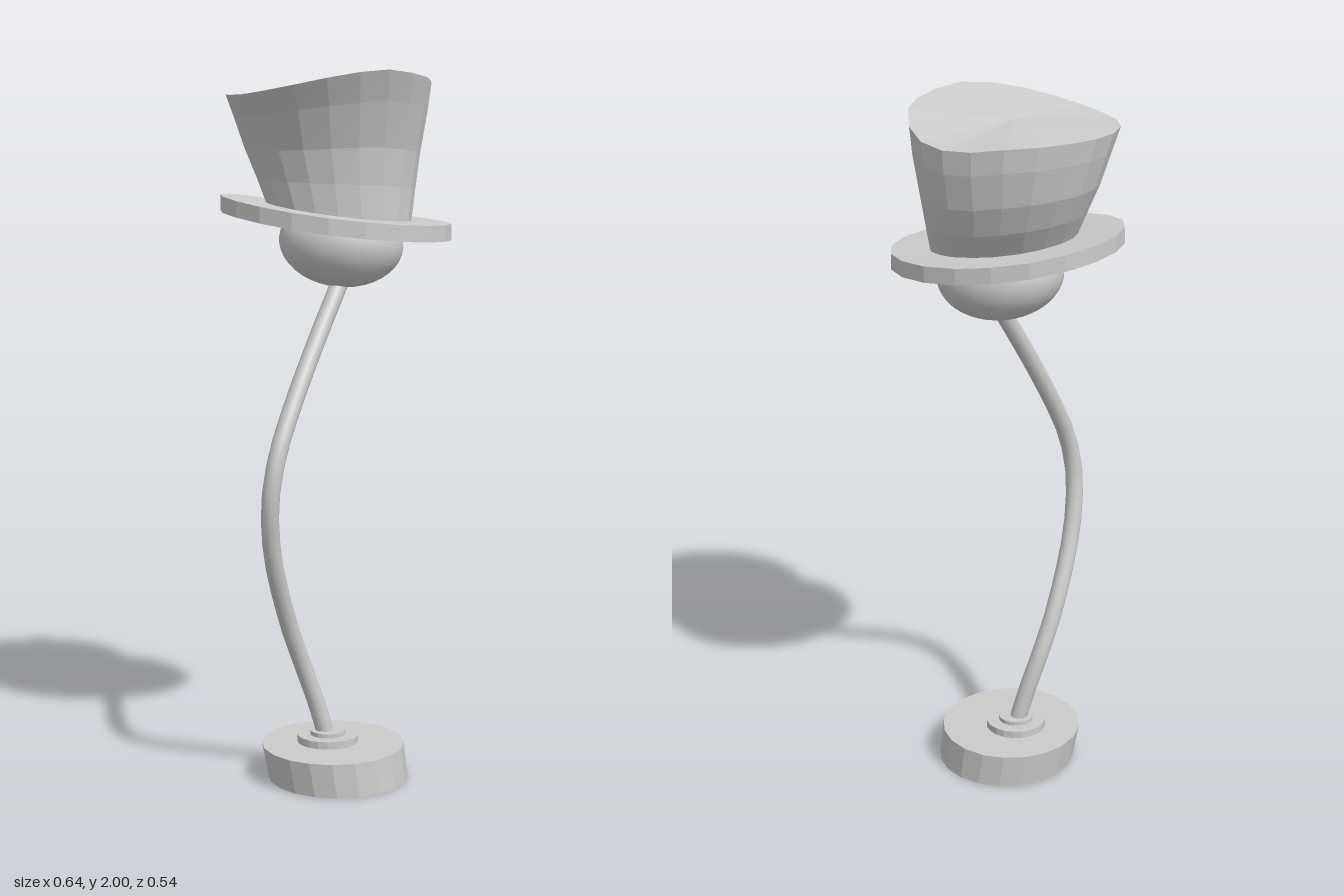
import * as THREE from 'three';

const SIDES = 20;
const smooth = new THREE.MeshStandardMaterial({ color: 0xcccccc });
const faceted = new THREE.MeshStandardMaterial({ color: 0xcccccc, flatShading: true });
const facetedOpen = new THREE.MeshStandardMaterial({ color: 0xcccccc, flatShading: true, side: THREE.DoubleSide });

// Elliptical ring of points; height is a function of x, z and angle index
function ring(cx, cz, rx, rz, height) {
  return Array.from({ length: SIDES }, (_, j) => {
    const a = (j / SIDES) * Math.PI * 2;
    const x = cx + rx * Math.cos(a), z = cz + rz * Math.sin(a);
    return [x, height(x, z, a), z];
  });
}

// Skin a list of rings
function loft(rings) {
  const index = [];
  for (let i = 0; i < rings.length - 1; i++) {
    for (let j = 0; j < SIDES; j++) {
      const k = (j + 1) % SIDES;
      const a = i * SIDES + j, b = i * SIDES + k;
      index.push(a, a + SIDES, b, b, a + SIDES, b + SIDES);
    }
  }
  const geometry = new THREE.BufferGeometry();
  geometry.setAttribute('position', new THREE.Float32BufferAttribute(rings.flat(2), 3));
  geometry.setIndex(index);
  geometry.computeVertexNormals();
  return geometry;
}

function add(parent, name, geometry, material) {
  const mesh = new THREE.Mesh(geometry, material);
  mesh.name = name;
  parent.add(mesh);
  return mesh;
}

// Tilted, slightly curled underside of the brim
const brimLevel = (x) => 1.56 - 0.125 * x + 0.1 * x * x;

// Wavy top edge of the crown, one height per 30 degrees from +x towards +z
const RIM = [1.965, 1.985, 2.0, 1.975, 1.945, 1.928, 1.93, 1.93, 1.928, 1.92, 1.9, 1.915];
function rimLevel(a) {
  const t = (a / (Math.PI * 2)) * RIM.length;
  const i = Math.floor(t) % RIM.length;
  return THREE.MathUtils.lerp(RIM[i], RIM[(i + 1) % RIM.length], t - Math.floor(t));
}

function createHat() {
  const hat = new THREE.Group();
  hat.name = 'hat';

  // Brim: ring with a hole for the head
  const under = (x) => brimLevel(x);
  const over = (x) => brimLevel(x) + 0.045;
  const inner = [0.01, -0.01, 0.2, 0.155], outer = [0, 0, 0.322, 0.268];
  const brim = add(hat, 'brim', loft([
    ring(...inner, under), ring(...outer, under), ring(...outer, over),
    ring(...inner, over), ring(...inner, under),
  ]), faceted);
  brim.rotation.y = -0.06;

  // Crown wall: [t, centre x, centre z, radius x, radius z]
  const sections = [
    [0, 0.01, -0.01, 0.2, 0.145],
    [0.25, 0, -0.035, 0.222, 0.175],
    [0.5, -0.01, -0.045, 0.245, 0.2],
    [0.8, -0.015, -0.033, 0.27, 0.232],
    [1, -0.02, -0.015, 0.285, 0.255],
  ];
  const wall = sections.map(([t, ...ellipse]) => ring(...ellipse,
    (x, z, a) => THREE.MathUtils.lerp(brimLevel(x) + 0.035, rimLevel(a), t)));

  // Crown top: shrinking rings easing to the middle height
  const top = [1, 0.7, 0.4, 0.001].map((s) => ring(-0.02, -0.015, 0.285 * s, 0.255 * s,
    (x, z, a) => THREE.MathUtils.lerp(1.943, rimLevel(a), s)));
  add(hat, 'crown', loft(wall), facetedOpen);
  add(hat, 'crownTop', loft(top), facetedOpen);
  return hat;
}

export function createModel() {
  const model = new THREE.Group();
  model.name = 'hatLamp';

  // Base: leaning disc
  const disc = new THREE.CylinderGeometry(0.203, 0.2, 0.097, SIDES);
  const p = disc.attributes.position;
  for (let i = 0; i < p.count; i++) p.setX(i, p.getX(i) - 0.15 * p.getY(i));
  const base = add(model, 'base', disc, faceted);
  base.scale.z = 1.08;
  base.position.set(0, 0.0485, 0.052);

  // Stepped collar where the stem meets the base
  [[0.087, 0.09, 0.118], [0.05, 0.11, 0.13]].forEach(([r, y0, y1], i) => {
    const step = add(model, i ? 'collarTop' : 'collar', new THREE.CylinderGeometry(r, r, y1 - y0, SIDES), faceted);
    step.position.set(-0.022, (y0 + y1) / 2, 0.04);
  });

  // Stem: bent rod
  const path = new THREE.CatmullRomCurve3([
    [-0.02, 0.08, 0.035], [-0.045, 0.18, 0.042], [-0.087, 0.31, 0.06], [-0.127, 0.44, 0.1],
    [-0.172, 0.67, 0.187], [-0.176, 0.83, 0.222], [-0.155, 0.96, 0.208],
    [-0.107, 1.11, 0.14], [-0.05, 1.26, 0.06], [0.02, 1.43, -0.035],
  ].map((v) => new THREE.Vector3(...v)));
  add(model, 'stem', new THREE.TubeGeometry(path, 20, 0.025, 12), smooth);

  // Head: flattened ball under the hat
  const head = add(model, 'head', new THREE.SphereGeometry(1, 32, 20), smooth);
  head.scale.set(0.175, 0.125, 0.143);
  head.position.set(0.015, 1.52, -0.037);
  head.rotation.z = -0.1;

  model.add(createHat());
  return model;
}
